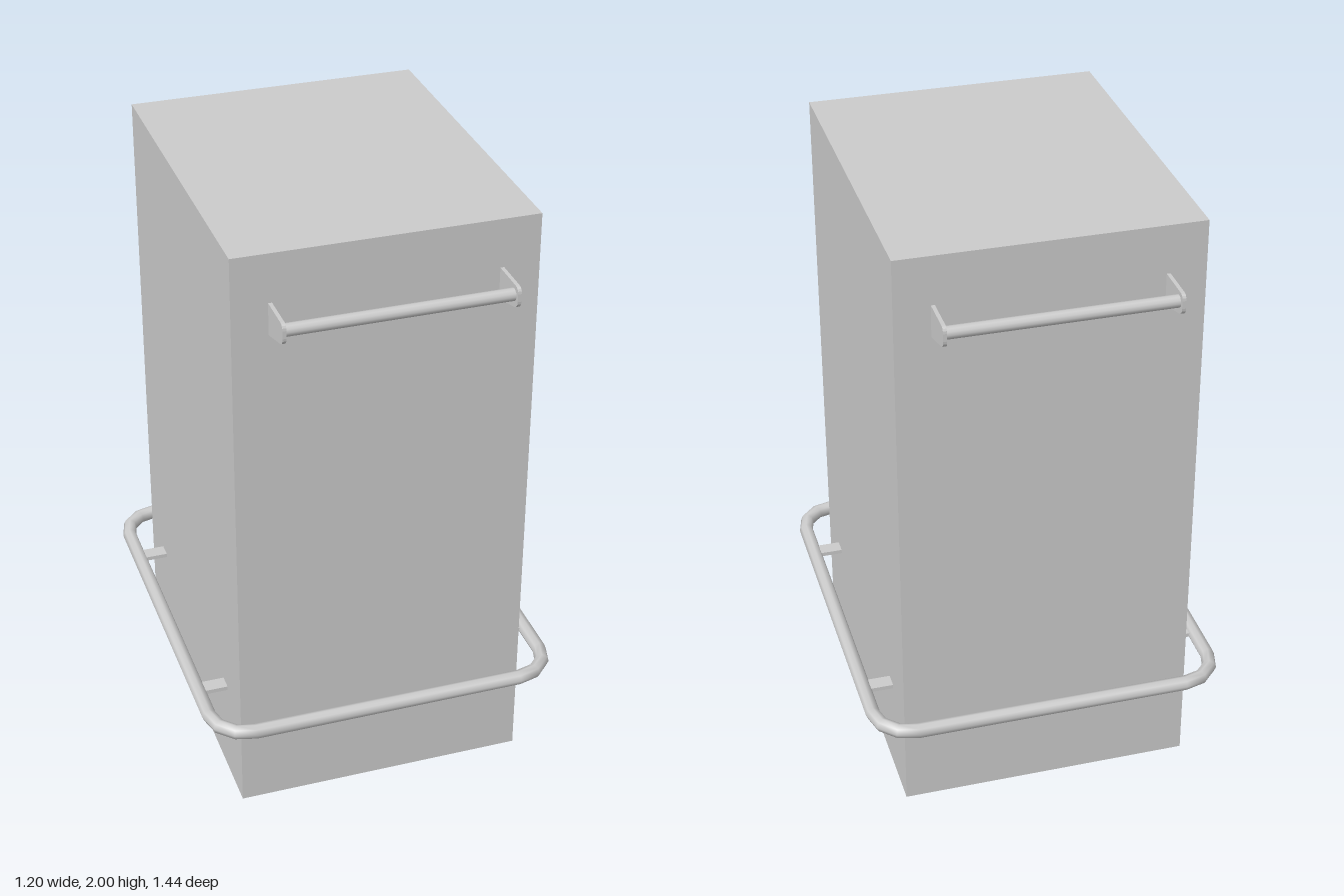
import * as THREE from 'three';

const material = new THREE.MeshStandardMaterial({ color: 0xcccccc });

function addMesh(parent, name, geometry, x = 0, y = 0, z = 0) {
  const mesh = new THREE.Mesh(geometry, material);
  mesh.name = name;
  mesh.position.set(x, y, z);
  parent.add(mesh);
  return mesh;
}

// Closed tube following a rounded rectangle: one ring of points per path step
function roundedRailGeometry(halfX, halfZ, cornerRadius, tubeRadius, cornerSteps, sides) {
  const positions = [], indices = [];
  const corners = [[1, 1], [-1, 1], [-1, -1], [1, -1]];
  corners.forEach(([sx, sz], c) => {
    for (let i = 0; i <= cornerSteps; i++) {
      const a = (c + i / cornerSteps) * Math.PI / 2;
      for (let j = 0; j < sides; j++) {
        const t = j / sides * Math.PI * 2;
        const r = cornerRadius + tubeRadius * Math.cos(t);
        positions.push(
          sx * (halfX - cornerRadius) + r * Math.cos(a),
          tubeRadius * Math.sin(t),
          sz * (halfZ - cornerRadius) + r * Math.sin(a));
      }
    }
  });
  const rings = corners.length * (cornerSteps + 1);
  for (let i = 0; i < rings; i++) {
    const n = (i + 1) % rings;
    for (let j = 0; j < sides; j++) {
      const k = (j + 1) % sides;
      const a = i * sides + j, b = i * sides + k, c = n * sides + k, d = n * sides + j;
      indices.push(a, b, c, a, c, d);
    }
  }
  const geometry = new THREE.BufferGeometry();
  geometry.setAttribute('position', new THREE.Float32BufferAttribute(positions, 3));
  geometry.setIndex(indices);
  geometry.computeVertexNormals();
  return geometry;
}

// Side plate of a handle, drawn as (distance from centre, height), extruded along x
function handlePlateGeometry(thickness) {
  const s = new THREE.Shape();
  s.moveTo(0.58, 1.735);
  s.lineTo(0.697, 1.768);
  s.quadraticCurveTo(0.72, 1.775, 0.72, 1.795);
  s.lineTo(0.72, 1.82);
  s.quadraticCurveTo(0.72, 1.84, 0.7, 1.84);
  s.lineTo(0.58, 1.84);
  const g = new THREE.ExtrudeGeometry(s, { depth: thickness, bevelEnabled: false, curveSegments: 4 });
  g.translate(0, 0, -thickness / 2);
  g.rotateY(-Math.PI / 2);
  return g;
}

function createHandle(name) {
  const handle = new THREE.Group();
  handle.name = name;
  for (const side of [-1, 1]) {
    addMesh(handle, side > 0 ? 'leftHandlePlate' : 'rightHandlePlate', handlePlateGeometry(0.012), side * 0.36);
  }
  const bar = new THREE.CylinderGeometry(0.02, 0.02, 0.71, 12);
  bar.rotateZ(Math.PI / 2);
  addMesh(handle, 'handleBar', bar, 0, 1.807, 0.69);
  return handle;
}

export function createModel() {
  const model = new THREE.Group();
  model.name = 'cabinet';

  // Main box
  addMesh(model, 'body', new THREE.BoxGeometry(0.96, 2, 1.16), 0, 1, 0);

  // Handles on front and back
  const back = createHandle('backHandle');
  back.rotation.y = Math.PI;
  model.add(createHandle('frontHandle'), back);

  // Bumper rail with its mounting tabs
  const bumper = new THREE.Group();
  bumper.name = 'bumper';
  bumper.position.y = 0.346;
  addMesh(bumper, 'bumperRail', roundedRailGeometry(0.575, 0.665, 0.122, 0.024, 3, 8));
  for (const sx of [-1, 1]) {
    for (const sz of [-1, 1]) {
      addMesh(bumper, 'bumperTab', new THREE.BoxGeometry(0.09, 0.014, 0.05), sx * 0.52, 0, sz * 0.4);
    }
  }
  model.add(bumper);
  return model;
}
